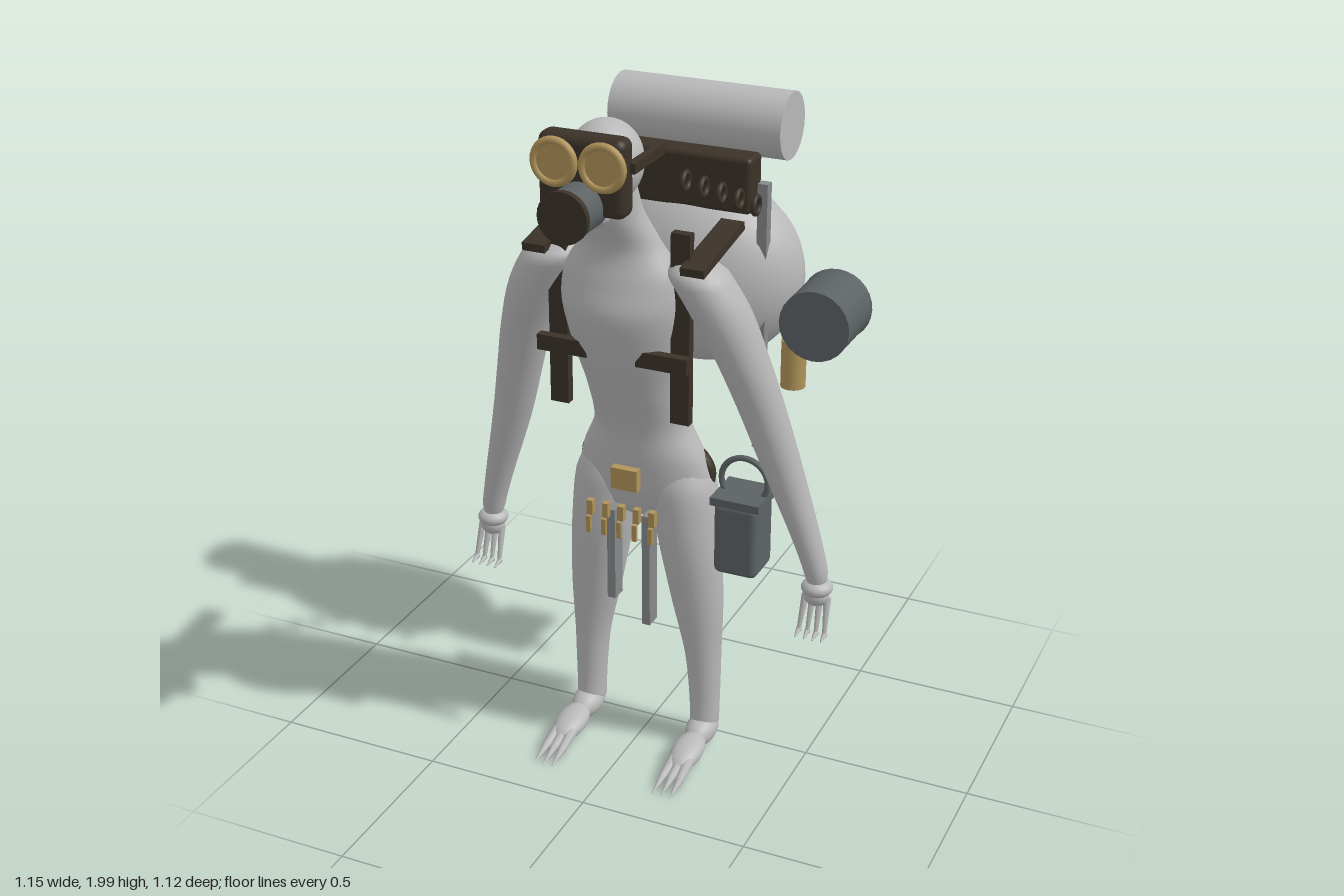
import * as THREE from 'three';
import { RoundedBoxGeometry } from 'three/addons/geometries/RoundedBoxGeometry.js';

const mat = (name, color) => {
  const m = new THREE.MeshStandardMaterial({ color });
  m.name = name;
  return m;
};

// Closed smooth limb from horizontal elliptical sections [x, y, z, rx, rz], listed bottom to top
function loft(sections, steps = 32, sides = 24) {
  const path = new THREE.CatmullRomCurve3(sections.map(s => new THREE.Vector3(s[0], s[1], s[2])));
  const radii = new THREE.CatmullRomCurve3(sections.map(s => new THREE.Vector3(s[3], s[4], 0)));
  const pos = [], idx = [];
  for (let i = 0; i <= steps; i++) {
    const c = path.getPoint(i / steps), r = radii.getPoint(i / steps);
    for (let j = 0; j < sides; j++) {
      const a = j / sides * Math.PI * 2;
      pos.push(c.x + r.x * Math.cos(a), c.y, c.z + r.y * Math.sin(a));
      if (i < steps) {
        const k = i * sides + j, n = i * sides + (j + 1) % sides;
        idx.push(k, k + sides, n, n, k + sides, n + sides);
      }
    }
  }
  const g = new THREE.BufferGeometry();
  g.setAttribute('position', new THREE.Float32BufferAttribute(pos, 3));
  g.setIndex(idx);
  g.computeVertexNormals();
  return g;
}

export function createModel() {
  const root = new THREE.Group();
  root.name = 'expeditionCreature';
  const skin = mat('pale grey', 0xb8b8b8), iron = mat('dark iron', 0x5c6264), strip = mat('mid grey', 0x85888a);
  const leather = mat('dark leather', 0x3b3228), brass = mat('brass', 0xb0935a);

  const add = (name, geo, material, x = 0, y = 0, z = 0, rx = 0, ry = 0, rz = 0) => {
    const m = new THREE.Mesh(geo, material);
    m.name = name;
    m.position.set(x, y, z);
    m.rotation.set(rx, ry, rz);
    root.add(m);
    return m;
  };
  const box = (w, h, d) => new THREE.BoxGeometry(w, h, d);
  const cyl = (r, h, r2 = r, n = 24) => new THREE.CylinderGeometry(r2, r, h, n);
  const ball = (name, r, sx, sy, sz, x, y, z, rx = 0) =>
    add(name, new THREE.SphereGeometry(r, 28, 18), skin, x, y, z, rx).scale.set(sx, sy, sz);
  // Tapered rod between two points
  const rod = (name, a, b, r0, r1, material) => {
    const p = new THREE.Vector3(...a), d = new THREE.Vector3(...b).sub(p);
    const m = add(name, cyl(r0, d.length(), r1, 8), material);
    m.position.copy(p).addScaledVector(d, 0.5);
    m.quaternion.setFromUnitVectors(new THREE.Vector3(0, 1, 0), d.normalize());
  };

  // Torso, neck and head
  add('torso', loft([
    [0, 0.74, 0.05, 0.01, 0.01], [0, 0.78, 0.05, 0.13, 0.08], [0, 0.87, 0.055, 0.205, 0.105],
    [0, 0.96, 0.065, 0.185, 0.11], [0, 1.07, 0.08, 0.14, 0.115], [0, 1.2, 0.125, 0.14, 0.125],
    [0, 1.32, 0.16, 0.16, 0.14], [0, 1.45, 0.195, 0.175, 0.14], [0, 1.55, 0.205, 0.17, 0.11],
    [0, 1.64, 0.215, 0.115, 0.085], [0, 1.74, 0.26, 0.08, 0.08], [0, 1.86, 0.3, 0.07, 0.075],
  ], 56, 32), skin);
  ball('head', 0.11, 0.92, 1.03, 1.02, 0, 1.885, 0.305);
  ball('jaw', 0.05, 1, 0.8, 1, 0, 1.77, 0.38);
  for (const [y, z] of [[1.28, -0.125], [1.21, -0.135], [1.13, -0.13]]) ball('backBead', 0.02, 1, 0.9, 1, 0, y, z);

  for (const s of [-1, 1]) {
    // Arm, wrist and clawed hand
    add('arm', loft([
      [s * 0.525, 0.59, 0.03, 0.02, 0.02], [s * 0.52, 0.65, 0.03, 0.034, 0.036], [s * 0.495, 0.75, 0.04, 0.04, 0.045],
      [s * 0.42, 1.0, 0.075, 0.058, 0.06], [s * 0.37, 1.18, 0.11, 0.066, 0.07], [s * 0.325, 1.33, 0.145, 0.073, 0.08],
      [s * 0.265, 1.48, 0.175, 0.085, 0.09], [s * 0.215, 1.57, 0.19, 0.085, 0.085], [s * 0.18, 1.63, 0.19, 0.01, 0.01],
    ]), skin);
    ball('wrist', 0.046, 1, 0.6, 1, s * 0.525, 0.605, 0.03);
    ball('palm', 0.038, 1, 0.85, 0.8, s * 0.525, 0.58, 0.035);
    for (let i = 0; i < 4; i++) {
      const x = s * (0.493 + i * 0.022), tip = s * (0.488 + i * 0.026);
      rod('finger', [x, 0.58, 0.035], [tip, 0.475, 0.07], 0.011, 0.006, skin);
      rod('claw', [tip, 0.477, 0.066], [tip, 0.468, 0.1], 0.009, 0.002, skin);
    }

    // Leg and foot
    add('leg', loft([
      [s * 0.188, 0.035, 0.04, 0.015, 0.02], [s * 0.188, 0.07, 0.045, 0.043, 0.05], [s * 0.188, 0.14, 0.045, 0.045, 0.048],
      [s * 0.182, 0.3, 0.045, 0.053, 0.056], [s * 0.162, 0.5, 0.05, 0.078, 0.075], [s * 0.138, 0.7, 0.055, 0.093, 0.095],
      [s * 0.12, 0.85, 0.055, 0.098, 0.1], [s * 0.1, 0.98, 0.06, 0.06, 0.06],
    ]), skin);
    ball('heel', 0.05, 0.92, 0.85, 1.5, s * 0.19, 0.057, 0.07, 0.15);
    ball('foot', 0.045, 1.05, 0.7, 1.9, s * 0.192, 0.045, 0.185, 0.15);
    for (let i = -1; i < 2; i++) {
      rod('toe', [s * 0.192 + i * 0.023, 0.04, 0.23], [s * 0.192 + i * 0.027, 0.022, 0.31], 0.018, 0.012, skin);
      rod('toeClaw', [s * 0.192 + i * 0.027, 0.024, 0.3], [s * 0.192 + i * 0.028, 0.01, 0.38], 0.013, 0.001, skin);
    }

    // Harness and mask straps
    add('shoulderStrap', box(0.068, 0.024, 0.285), leather, s * 0.232, 1.625, 0.135, 0.16);
    add('chestStrap', box(0.055, 0.55, 0.028), leather, s * 0.182, 1.415, 0.222);
    add('chestBuckle', box(0.15, 0.045, 0.028), leather, s * 0.148, 1.335, 0.272);
    add('maskStrap', box(0.022, 0.028, 0.185), leather, s * 0.125, 1.915, 0.325);

    // Goggle rims and lenses
    add('goggleRim', new THREE.TorusGeometry(0.056, 0.011, 10, 28), brass, s * 0.068, 1.922, 0.463);
    add('goggleLens', cyl(0.054, 0.02), brass, s * 0.068, 1.922, 0.458, Math.PI / 2);

    // Pack side gear
    add('packPost', box(0.03, 0.815, 0.032), strip, s * 0.23, 1.283, -0.243);
    add('cookPot', cyl(0.106, 0.195), iron, s * 0.405, 1.3, -0.2975, Math.PI / 2);
    add('potRim', new THREE.TorusGeometry(0.1, 0.009, 8, 28), iron, s * 0.405, 1.3, -0.392);
    add('flask', cyl(0.038, 0.15), brass, s * 0.277, 1.09, -0.395);

    // Hanging strips between the legs
    const low = s > 0 ? 0.445 : 0.51, h = 0.8 - low;
    add('frontStrip', box(0.025, h, 0.05), strip, s * 0.055, low + h / 2, 0.155);
    add('backStrip', box(0.02, h, 0.06), skin, s * 0.053, low + h / 2, -0.065, 0, -s * 0.42);
  }

  // Breathing mask
  add('maskPlate', new RoundedBoxGeometry(0.245, 0.21, 0.072, 3, 0.025), leather, 0, 1.888, 0.42);
  add('snout', cyl(0.066, 0.12), iron, 0, 1.81, 0.485, Math.PI / 2);
  add('snoutCap', cyl(0.07, 0.018), leather, 0, 1.81, 0.549, Math.PI / 2);

  // Backpack, bedroll and pouch
  add('backpack', new THREE.SphereGeometry(1, 32, 20), skin, 0, 1.375, -0.342).scale.set(0.315, 0.286, 0.217);
  add('bedroll', cyl(0.098, 0.53), skin, 0, 1.828, -0.358, 0, 0, Math.PI / 2);
  add('pouch', new RoundedBoxGeometry(0.4, 0.165, 0.09, 3, 0.015), leather, 0, 1.68, -0.255);

  // Chain from the pack to the shoulder
  for (let i = 0; i < 5; i++)
    add('chainLink', new THREE.TorusGeometry(0.024, 0.008, 8, 18), leather,
      0.095 + i * 0.033, 1.753 - i * 0.028, 0.003 - i * 0.048, 0, Math.PI / 2);

  // Belt with buckle and cartridges
  add('belt', new THREE.TorusGeometry(0.19, 0.022, 10, 36), leather, 0, 0.9, 0.04).scale.set(1, 0.6, 1);
  add('beltBuckle', box(0.08, 0.065, 0.026), brass, 0, 0.92, 0.196);
  for (let i = -2; i < 3; i++) {
    add('cartridge', box(0.018, 0.045, 0.02), brass, i * 0.048, 0.824, 0.224);
    add('cartridgeTip', box(0.014, 0.05, 0.01), brass, i * 0.048, 0.776, 0.24);
  }

  // Lantern
  add('lanternBody', new RoundedBoxGeometry(0.132, 0.225, 0.135, 2, 0.02), iron, 0.31, 0.755, 0.072);
  add('lanternCap', box(0.148, 0.024, 0.145), iron, 0.31, 0.873, 0.072);
  add('lanternHandle', new THREE.TorusGeometry(0.07, 0.009, 8, 30), iron, 0.312, 0.92, 0.072);
  return root;
}
